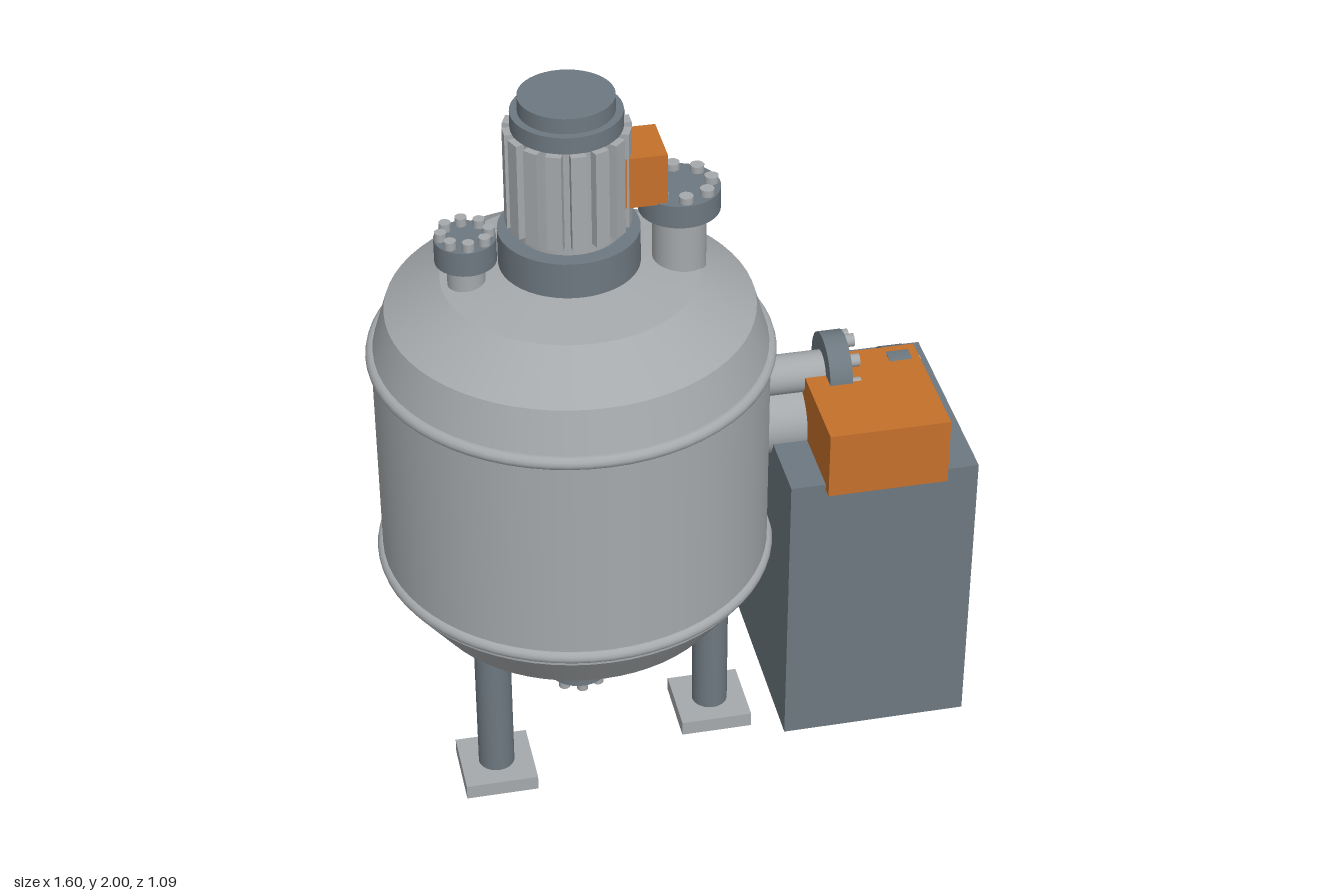
import * as THREE from 'three';

const material = (name, color) => {
  const m = new THREE.MeshStandardMaterial({ color });
  m.name = name;
  return m;
};

export function createModel() {
  const steel = material('light steel', 0xa5a9ac);
  const slate = material('slate grey', 0x6d7880);
  const orange = material('safety orange', 0xc4702b);
  const model = new THREE.Group();
  model.name = 'mixingVessel';
  const AXIS = -0.255; // x of the vessel's centre line

  function add(parent, name, geometry, mat, x = 0, y = 0, z = 0) {
    const mesh = new THREE.Mesh(geometry, mat);
    mesh.name = name;
    mesh.position.set(x, y, z);
    parent.add(mesh);
    return mesh;
  }
  // upright cylinder or cone between two heights
  function drum(parent, name, mat, x, z, y0, y1, r0, r1 = r0, open = false, sides = 48) {
    const g = new THREE.CylinderGeometry(r1, r0, y1 - y0, sides, 1, open);
    return add(parent, name, g, mat, x, (y0 + y1) / 2, z);
  }
  function block(parent, name, mat, [x0, x1], [y0, y1], [z0, z1]) {
    const g = new THREE.BoxGeometry(x1 - x0, y1 - y0, z1 - z0);
    return add(parent, name, g, mat, (x0 + x1) / 2, (y0 + y1) / 2, (z0 + z1) / 2);
  }

  // Vessel: stacked bands keep a crisp edge at every change of slope
  const vessel = new THREE.Group();
  vessel.name = 'vessel';
  vessel.position.x = AXIS;
  model.add(vessel);
  const profile = [
    [0, 0.345], [0.26, 0.364], [0.43, 0.437], [0.53, 0.575], [0.53, 1.24],
    [0.49, 1.373], [0.34, 1.468], [0, 1.51],
  ];
  for (let i = 0; i < profile.length - 1; i++) {
    const [r0, y0] = profile[i], [r1, y1] = profile[i + 1];
    const name = i < 3 ? 'lowerHead' : i === 3 ? 'shell' : 'upperHead';
    drum(vessel, name, steel, 0, 0, y0, y1, r0, r1, true, 64);
  }
  for (const y of [0.603, 1.238]) {
    const ring = add(vessel, 'weldRing', new THREE.TorusGeometry(0.526, 0.019, 12, 64), steel, 0, y, 0);
    ring.rotation.x = Math.PI / 2;
  }

  // Legs and foot pads, 120 degrees apart
  for (const deg of [18, 138, 258]) {
    const a = THREE.MathUtils.degToRad(deg);
    const x = AXIS + 0.377 * Math.cos(a), z = 0.377 * Math.sin(a);
    drum(model, 'leg', slate, x, z, 0.04, 0.5, 0.05, 0.05, false, 24);
    block(model, 'footPad', steel, [x - 0.1, x + 0.1], [0.003, 0.046], [z - 0.1, z + 0.1]);
  }

  // Flanged nozzle along its local +y axis, with a circle of eight bolts
  function nozzle(name, { pipe, length, flange, thick, boltCircle, bolt, boltHeight }) {
    const group = new THREE.Group();
    group.name = name;
    drum(group, 'pipe', steel, 0, 0, 0, length, pipe, pipe, false, 32);
    drum(group, 'flange', slate, 0, 0, length - thick, length + 0.001, flange);
    for (let i = 0; i < 8; i++) {
      const a = i * Math.PI / 4;
      drum(group, 'bolt', steel, boltCircle * Math.cos(a), boltCircle * Math.sin(a),
        length - 0.01, length + boltHeight, bolt, bolt, false, 12);
    }
    model.add(group);
    return group;
  }
  nozzle('fillNozzle', {
    pipe: 0.071, length: 0.305, flange: 0.108, thick: 0.064, boltCircle: 0.085, bolt: 0.019, boltHeight: 0.02,
  }).position.set(0.037, 1.39, 0);
  nozzle('ventNozzle', {
    pipe: 0.05, length: 0.21, flange: 0.081, thick: 0.068, boltCircle: 0.063, bolt: 0.016, boltHeight: 0.024,
  }).position.set(-0.527, 1.4, 0);
  const drain = nozzle('drainNozzle', {
    pipe: 0.055, length: 0.245, flange: 0.088, thick: 0.064, boltCircle: 0.068, bolt: 0.016, boltHeight: 0.025,
  });
  drain.position.set(AXIS, 0.37, 0);
  drain.rotation.x = Math.PI;

  // Side nozzles pointing to +x
  const upper = nozzle('upperSideNozzle', {
    pipe: 0.055, length: 0.295, flange: 0.104, thick: 0.062, boltCircle: 0.085, bolt: 0.018, boltHeight: 0.026,
  });
  upper.position.set(0.2, 1.058, 0);
  const lower = nozzle('lowerSideNozzle', {
    pipe: 0.097, length: 0.482, flange: 0.158, thick: 0.062, boltCircle: 0.128, bolt: 0.018, boltHeight: 0.03,
  });
  lower.position.set(0.2, 0.917, 0);
  upper.rotation.z = lower.rotation.z = -Math.PI / 2;

  // Agitator motor
  const motor = new THREE.Group();
  motor.name = 'motor';
  motor.position.x = AXIS;
  model.add(motor);
  drum(motor, 'mountingFlange', slate, 0, 0, 1.508, 1.61, 0.186);
  drum(motor, 'motorCore', steel, 0, 0, 1.6, 1.912, 0.142);
  for (let i = 0; i < 16; i++) {
    const a = i * Math.PI / 8;
    const fin = add(motor, 'coolingFin', new THREE.BoxGeometry(0.04, 0.275, 0.036), steel,
      0.146 * Math.sin(a), 1.773, 0.146 * Math.cos(a));
    fin.rotation.y = a;
  }
  drum(motor, 'fanCover', slate, 0, 0, 1.91, 1.957, 0.145);
  drum(motor, 'fanCap', slate, 0, 0, 1.957, 2, 0.125);
  block(model, 'terminalBox', orange, [-0.132, -0.01], [1.692, 1.838], [-0.079, 0.079]);

  // Control cabinet with the drive box on top
  block(model, 'cabinet', slate, [0.28, 0.8], [0.036, 0.895], [-0.3, 0.3]);
  block(model, 'driveBox', orange, [0.375, 0.705], [0.878, 1.073], [-0.046, 0.33]);

  return model;
}
